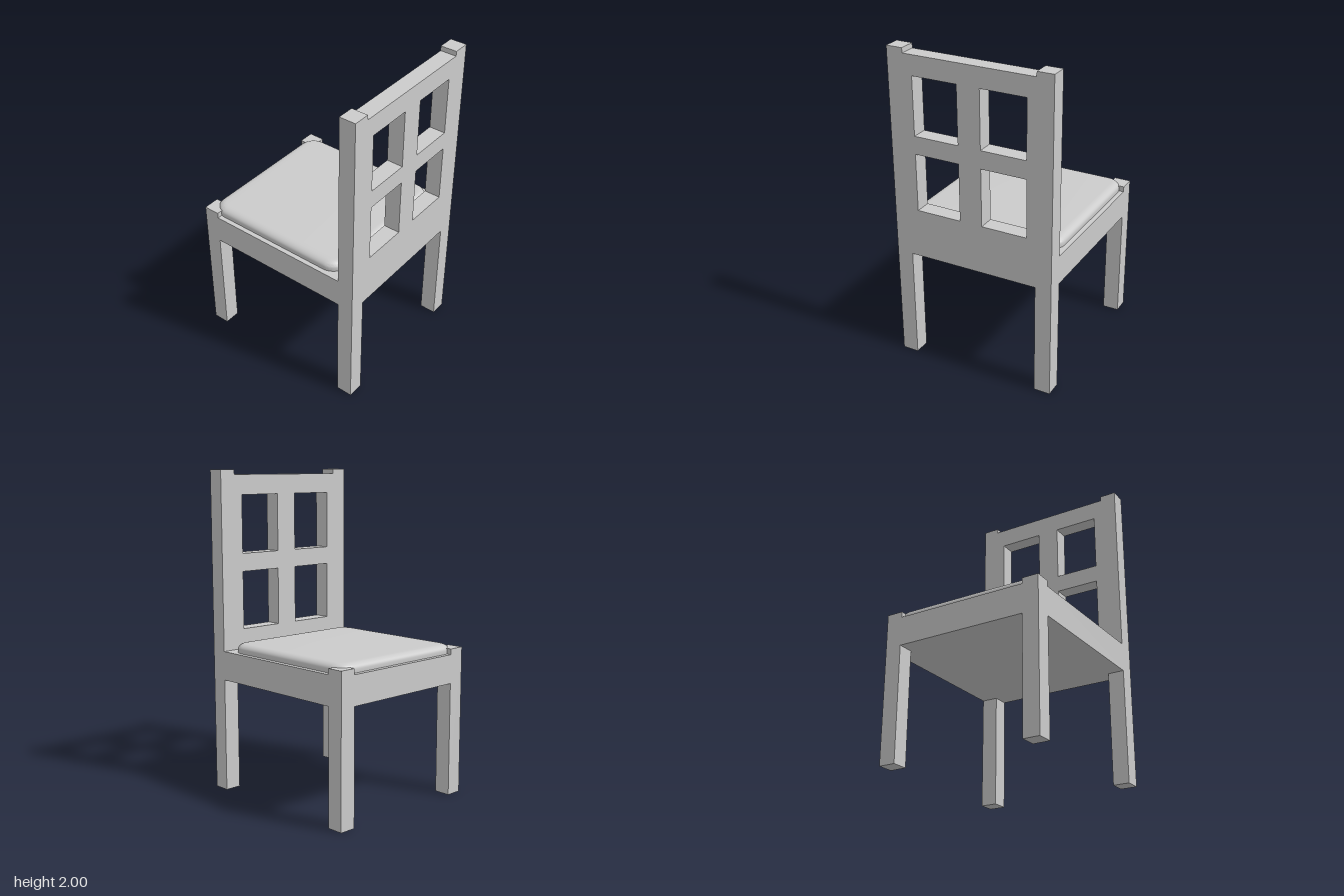
import * as THREE from 'three';
import { toCreasedNormals } from 'three/addons/utils/BufferGeometryUtils.js';

const W = 0.517, D = 0.57; // half width and half depth of the chair
const LEG = 0.103; // leg thickness
const SEAT_BOTTOM = 0.71, SEAT_TOP = 0.89;

const material = new THREE.MeshStandardMaterial({ color: 0xcccccc });

function addMesh(parent, name, geometry, x = 0, y = 0, z = 0) {
  const mesh = new THREE.Mesh(geometry, material);
  mesh.name = name;
  mesh.position.set(x, y, z);
  parent.add(mesh);
}

function rectangle(target, x0, y0, x1, y1) {
  target.moveTo(x0, y0);
  target.lineTo(x1, y0);
  target.lineTo(x1, y1);
  target.lineTo(x0, y1);
  target.closePath();
  return target;
}

function roundedSquare(h, r) {
  const s = new THREE.Shape();
  s.absarc(h - r, h - r, r, 0, Math.PI / 2);
  s.absarc(r - h, h - r, r, Math.PI / 2, Math.PI);
  s.absarc(r - h, r - h, r, Math.PI, Math.PI * 1.5);
  s.absarc(h - r, r - h, r, Math.PI * 1.5, Math.PI * 2);
  s.closePath();
  return s;
}

export function createModel() {
  const chair = new THREE.Group();
  chair.name = 'chair';

  // Short legs on -z, tall back posts on +z
  for (const side of [-1, 1]) {
    const label = side > 0 ? 'left' : 'right';
    for (const [name, height, dir] of [['SeatLeg', 0.925, -1], ['BackPost', 2, 1]]) {
      addMesh(chair, label + name, new THREE.BoxGeometry(LEG, height, LEG),
        side * (W - LEG / 2), height / 2, dir * (D - LEG / 2));
    }
  }

  // Solid seat block, notched at the corners around the legs
  const x = W - LEG, z = D - LEG;
  const plan = new THREE.Shape([
    [x, -D], [x, -z], [W, -z], [W, z], [x, z], [x, D],
    [-x, D], [-x, z], [-W, z], [-W, -z], [-x, -z], [-x, -D],
  ].map(([a, b]) => new THREE.Vector2(a, b)));
  const seat = new THREE.ExtrudeGeometry(plan, { depth: SEAT_TOP - SEAT_BOTTOM, bevelEnabled: false });
  seat.rotateX(-Math.PI / 2);
  addMesh(chair, 'seat', seat, 0, SEAT_BOTTOM, 0);

  // Back panel with four window openings
  const panel = rectangle(new THREE.Shape(), -x, SEAT_TOP, x, 1.97);
  for (const x0 of [-0.358, 0.072]) {
    for (const y0 of [1.015, 1.487]) {
      panel.holes.push(rectangle(new THREE.Path(), x0, y0, x0 + 0.286, y0 + 0.36));
    }
  }
  addMesh(chair, 'backPanel',
    new THREE.ExtrudeGeometry(panel, { depth: LEG, bevelEnabled: false }), 0, 0, z);

  // Soft cushion, its lower edge sunk into the seat
  const cushion = new THREE.ExtrudeGeometry(roundedSquare(0.487, 0.1), {
    depth: 0.03, bevelThickness: 0.035, bevelSize: 0.05, bevelOffset: -0.05,
    bevelSegments: 8, curveSegments: 10,
  });
  cushion.rotateX(-Math.PI / 2);
  addMesh(chair, 'cushion', toCreasedNormals(cushion, 0.9), 0, 0.88, -0.055);

  return chair;
}
